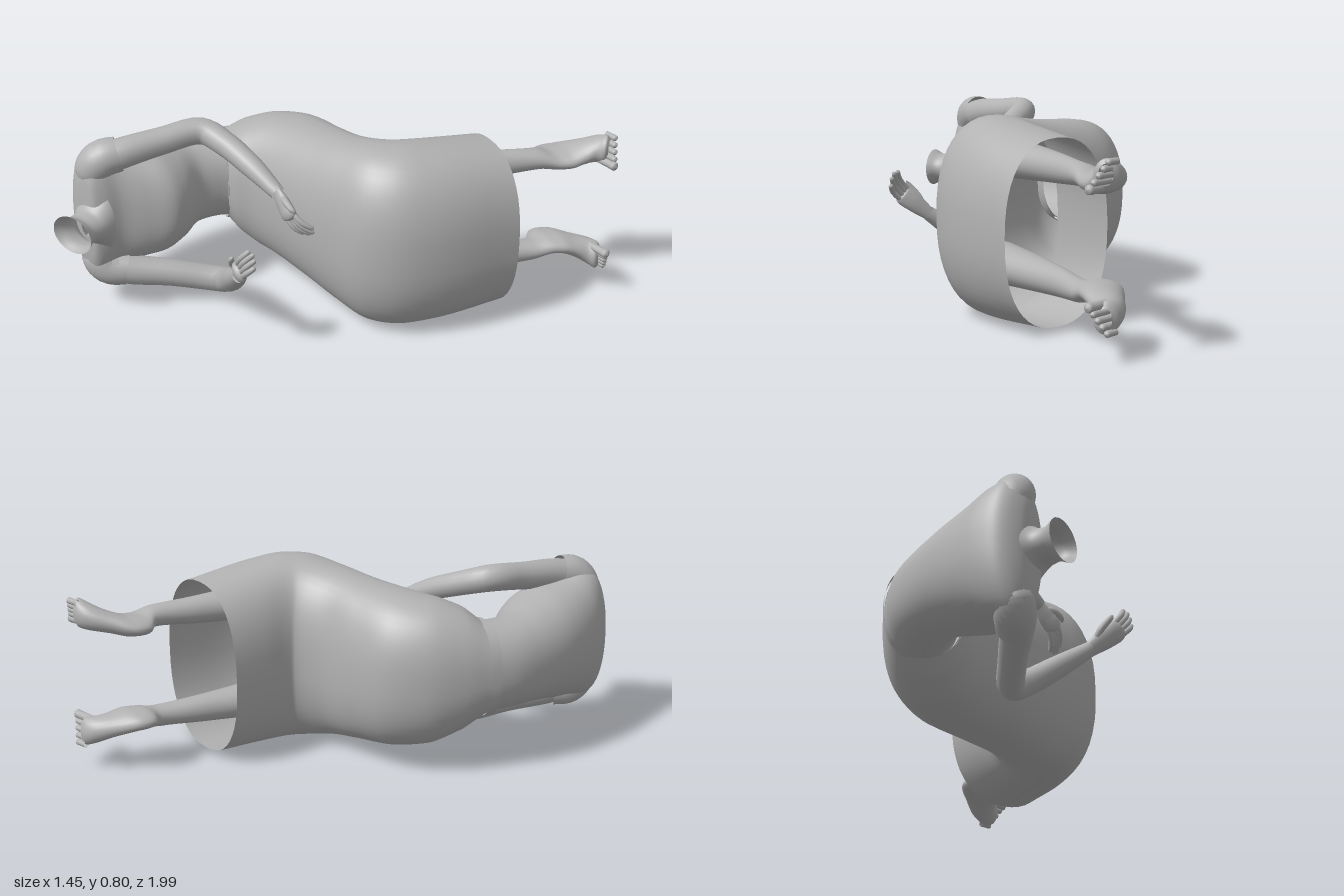
import * as THREE from 'three';

const cloth = new THREE.MeshStandardMaterial({ color: 0xb2b2b2, side: THREE.DoubleSide });
cloth.name = 'plainGrey';

// Skin closed loops of points into a smooth surface
function skin(loops, flip = false) {
  const n = loops[0].length, pos = [], idx = [];
  loops.forEach(l => l.forEach(p => pos.push(p.x, p.y, p.z)));
  for (let i = 0; i < loops.length - 1; i++) {
    for (let j = 0; j < n; j++) {
      const a = i * n + j, b = i * n + (j + 1) % n, c = a + n, d = b + n;
      if (flip) idx.push(a, c, b, b, c, d);
      else idx.push(a, b, c, b, d, c);
    }
  }
  const g = new THREE.BufferGeometry();
  g.setAttribute('position', new THREE.Float32BufferAttribute(pos, 3));
  g.setIndex(idx);
  g.computeVertexNormals();
  return g;
}

// Sections: [back x, back z, front x, front z, centre y, half width]
function body(sections, { power = 2, flip = false, sub = 5, n = 48 } = {}) {
  const curve = f => new THREE.CatmullRomCurve3(sections.map(f));
  const back = curve(s => new THREE.Vector3(s[0], 0, s[1]));
  const front = curve(s => new THREE.Vector3(s[2], 0, s[3]));
  const side = curve(s => new THREE.Vector3(s[4], s[5], 0));
  const steps = (sections.length - 1) * sub, loops = [];
  const bend = v => Math.sign(v) * Math.abs(v) ** (2 / power);
  for (let i = 0; i <= steps; i++) {
    const t = i / steps, A = back.getPoint(t), B = front.getPoint(t), S = side.getPoint(t), loop = [];
    for (let j = 0; j < n; j++) {
      const a = j / n * Math.PI * 2;
      const p = A.clone().lerp(B, 0.5 + 0.5 * bend(Math.cos(a)));
      p.y = S.x + S.y * bend(Math.sin(a));
      loop.push(p);
    }
    loops.push(loop);
  }
  return skin(loops, flip);
}

// Round limb through points [x, y, z, radius]; thin flattens it along z
function limb(points, { sub = 5, n = 16, thin = 1 } = {}) {
  const path = new THREE.CatmullRomCurve3(points.map(p => new THREE.Vector3(p[0], p[1], p[2])));
  const rad = new THREE.CatmullRomCurve3(points.map((p, i) => new THREE.Vector3(p[3], i * 0.1, 0)));
  const steps = (points.length - 1) * sub, loops = [];
  const zAxis = new THREE.Vector3(0, 0, 1), yAxis = new THREE.Vector3(0, 1, 0);
  for (let i = 0; i <= steps; i++) {
    const t = i / steps, c = path.getPoint(t), d = path.getTangent(t), r = Math.max(rad.getPoint(t).x, 0.0005);
    const u = new THREE.Vector3().crossVectors(thin < 1 ? zAxis : yAxis, d).normalize();
    const v = new THREE.Vector3().crossVectors(d, u);
    loops.push(Array.from({ length: n }, (_, j) => {
      const a = j / n * Math.PI * 2;
      return c.clone().addScaledVector(u, r * Math.cos(a)).addScaledVector(v, r * thin * Math.sin(a));
    }));
  }
  return skin(loops);
}

// Palm, four fingers and a thumb
function hand(add, name, wrist, knuckle, tip) {
  const W = new THREE.Vector3(...wrist), K = new THREE.Vector3(...knuckle), T = new THREE.Vector3(...tip);
  const across = new THREE.Vector3(0, 0, 1).cross(K.clone().sub(W)).normalize();
  const at = (p, s) => p.clone().addScaledVector(across, s).toArray();
  const mid = W.clone().lerp(K, 0.55);
  const start = W.clone().lerp(K, -0.2);
  add(name + 'Palm', limb([[...start.toArray(), 0.029], [...W.toArray(), 0.031], [...mid.toArray(), 0.043],
    [...K.toArray(), 0.042], [...K.clone().lerp(T, 0.15).toArray(), 0.001]], { thin: 0.55 }));
  [0.88, 1, 0.95, 0.78].forEach((len, i) => {
    const s = 0.03 - i * 0.02, end = K.clone().lerp(T, len), bow = K.clone().lerp(T, len * 0.5);
    bow.z += 0.012;
    add(name + 'Finger', limb([[...at(K.clone().lerp(W, 0.15), s * 0.9), 0.012], [...at(bow, s * 1.05), 0.012],
      [...at(end.clone().lerp(bow, 0.12), s * 1.1), 0.01], [...at(end, s * 1.1), 0.001]], { n: 10, sub: 3 }));
  });
  const out = W.clone().lerp(K, 0.95), z = new THREE.Vector3(0, 0, 0.012);
  add(name + 'Thumb', limb([[...at(W.clone().lerp(K, 0.3), 0.02), 0.015], [...at(mid.clone().add(z), 0.043), 0.015],
    [...at(out.clone().add(z), 0.057), 0.011], [...at(out.lerp(T, 0.15).add(z), 0.058), 0.001]], { n: 10, sub: 3 }));
}

export function createModel() {
  const model = new THREE.Group();
  model.name = 'seatedFigure';
  const add = (name, geometry) => {
    const m = new THREE.Mesh(geometry, cloth);
    m.name = name;
    model.add(m);
  };

  // Skirt: waist, seat, lap, knees, open hem
  add('skirt', body([
    [-0.64, 0.08, -0.375, 0.245, 0.43, 0.195],
    [-0.59, -0.01, -0.33, 0.232, 0.425, 0.25],
    [-0.49, -0.14, -0.27, 0.205, 0.415, 0.3],
    [-0.34, -0.235, -0.16, 0.185, 0.41, 0.325],
    [-0.16, -0.245, 0.01, 0.168, 0.405, 0.342],
    [0.0, -0.238, 0.2, 0.145, 0.402, 0.368],
    [0.105, -0.282, 0.37, 0.115, 0.4, 0.394],
    [0.115, -0.31, 0.495, 0.015, 0.4, 0.398],
    [0.125, -0.41, 0.585, -0.17, 0.395, 0.388],
    [0.145, -0.57, 0.65, -0.49, 0.385, 0.365],
  ], { power: 2.35, flip: true }));

  // Bodice from waist to shoulders
  add('bodice', body([
    [-0.64, 0.08, -0.37, 0.21, 0.43, 0.19],
    [-0.695, 0.2, -0.39, 0.28, 0.43, 0.185],
    [-0.72, 0.32, -0.395, 0.36, 0.43, 0.19],
    [-0.73, 0.45, -0.335, 0.46, 0.43, 0.215],
    [-0.725, 0.55, -0.32, 0.54, 0.43, 0.24],
    [-0.71, 0.66, -0.37, 0.64, 0.43, 0.255],
    [-0.69, 0.75, -0.42, 0.73, 0.43, 0.275],
    [-0.66, 0.82, -0.43, 0.79, 0.425, 0.285],
    [-0.62, 0.855, -0.44, 0.825, 0.42, 0.26],
    [-0.57, 0.872, -0.45, 0.845, 0.42, 0.19],
    [-0.53, 0.872, -0.47, 0.858, 0.42, 0.06],
  ], { power: 2.2 }));
  add('waistband', body([
    [-0.645, 0.075, -0.37, 0.21, 0.43, 0.198],
    [-0.665, 0.115, -0.37, 0.245, 0.43, 0.196],
  ], { power: 2.4, sub: 2 }));

  // Neck, flared into the shoulders and open at the top
  add('neck', body([
    [-0.62, 0.845, -0.4, 0.78, 0.42, 0.15],
    [-0.575, 0.872, -0.395, 0.815, 0.42, 0.1],
    [-0.545, 0.9, -0.39, 0.85, 0.42, 0.07],
    [-0.53, 0.945, -0.38, 0.89, 0.42, 0.064],
    [-0.535, 0.995, -0.35, 0.925, 0.42, 0.083],
  ], { n: 32 }));

  // Lower legs and feet: s is the direction the toes turn out
  for (const [name, y, s] of [['left', 0.635, 1], ['right', 0.2, -1]]) {
    add(name + 'Leg', body([
      [0.16, -0.15, 0.36, -0.03, y, 0.085],
      [0.27, -0.4, 0.42, -0.36, y, 0.068],
      [0.35, -0.56, 0.465, -0.56, y, 0.056],
      [0.42, -0.735, 0.53, -0.71, y, 0.043],
      [0.388, -0.795, 0.573, -0.785, y - s * 0.016, 0.04],
      [0.405, -0.855, 0.598, -0.825, y - s * 0.014, 0.042],
      [0.475, -0.92, 0.62, -0.875, y + s * 0.006, 0.046],
      [0.555, -0.985, 0.64, -0.908, y + s * 0.028, 0.056],
      [0.605, -0.998, 0.665, -0.925, y + s * 0.038, 0.06],
      [0.635, -0.99, 0.665, -0.945, y + s * 0.04, 0.04],
    ], { n: 24, flip: true }));
    for (let i = 0; i < 5; i++) {
      const ty = y + s * (-0.008 + i * 0.024), r = i ? 0.0125 : 0.018, end = 0.722 - i * 0.013, z = -0.942 - i * 0.011;
      add(name + 'Toe', limb([[0.61, ty, z, r], [end - 0.035, ty, z, r],
        [end - 0.008, ty, z, r], [end, ty, z, 0.001]], { n: 10, sub: 3 }));
    }
  }

  // Arms with short sleeves
  add('leftArm', limb([[-0.53, 0.66, 0.79, 0.07], [-0.49, 0.69, 0.7, 0.066], [-0.445, 0.715, 0.52, 0.058],
    [-0.395, 0.732, 0.355, 0.056], [-0.29, 0.7, 0.307, 0.052], [-0.14, 0.645, 0.275, 0.046], [0, 0.58, 0.25, 0.031]]));
  add('leftSleeve', limb([[-0.56, 0.52, 0.77, 0.04], [-0.545, 0.62, 0.792, 0.075], [-0.515, 0.678, 0.765, 0.08],
    [-0.485, 0.695, 0.7, 0.073]], { n: 24 }));
  hand(add, 'leftHand', [0, 0.58, 0.25], [0.08, 0.505, 0.245], [0.14, 0.425, 0.175]);

  add('rightArm', limb([[-0.53, 0.2, 0.79, 0.07], [-0.47, 0.165, 0.72, 0.066], [-0.36, 0.135, 0.55, 0.058],
    [-0.235, 0.103, 0.382, 0.055], [-0.17, 0.135, 0.385, 0.053], [-0.05, 0.22, 0.435, 0.046], [0.07, 0.31, 0.49, 0.031]]));
  add('rightSleeve', limb([[-0.56, 0.33, 0.77, 0.04], [-0.545, 0.23, 0.792, 0.075], [-0.515, 0.175, 0.765, 0.08],
    [-0.465, 0.163, 0.7, 0.073]], { n: 24 }));
  hand(add, 'rightHand', [0.07, 0.31, 0.49], [0.165, 0.4, 0.553], [0.245, 0.495, 0.53]);

  return model;
}
